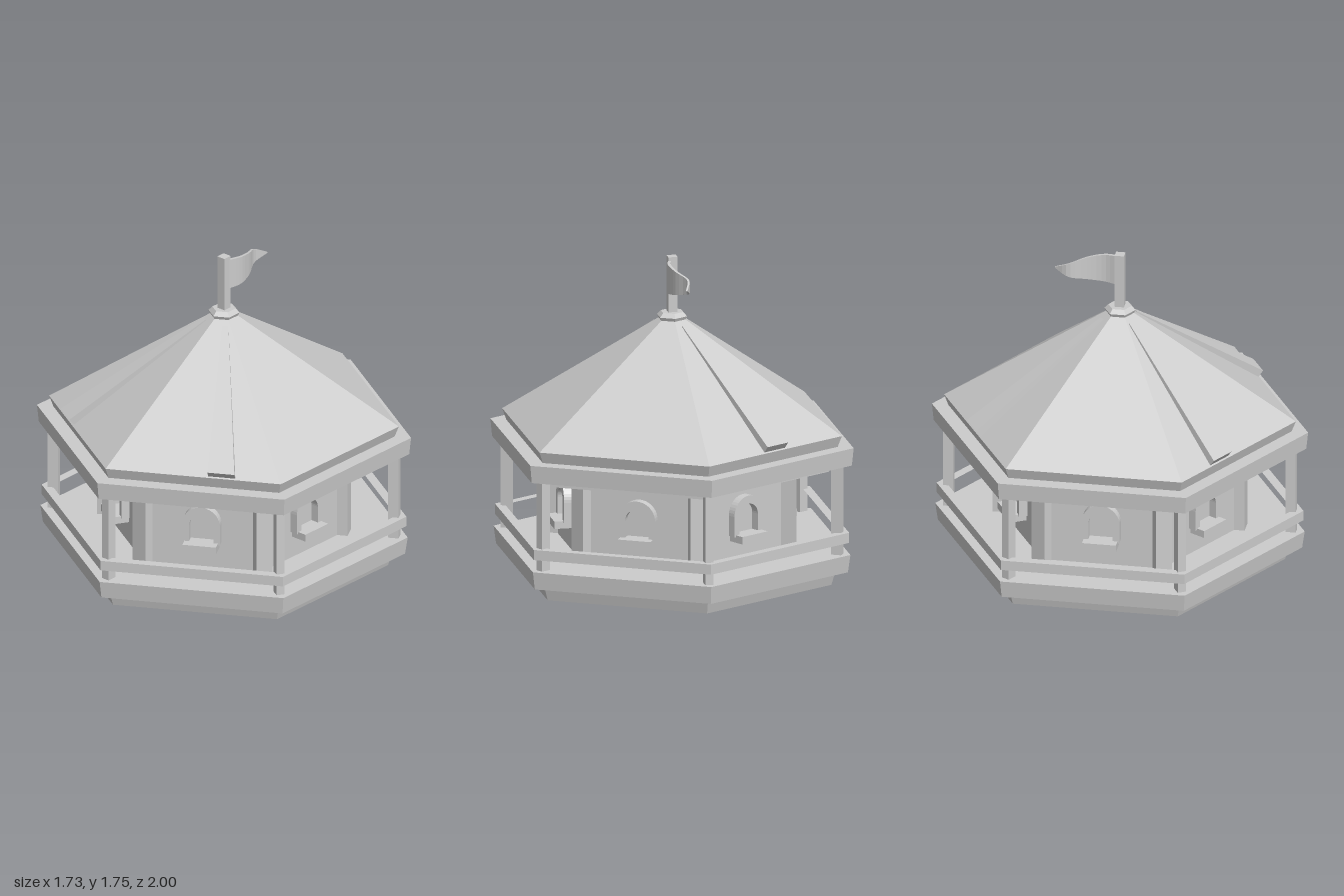
import * as THREE from 'three';

const mat = new THREE.MeshStandardMaterial({ color: 0xcccccc, flatShading: true });
const matDouble = new THREE.MeshStandardMaterial({ color: 0xcccccc, flatShading: true, side: THREE.DoubleSide });

function add(parent, name, geometry, material = mat) {
  const mesh = new THREE.Mesh(geometry, material);
  mesh.name = name;
  parent.add(mesh);
  return mesh;
}

// Six-sided tapered slab between heights y0 and y1, corners on +z and -z
function hexSlab(parent, name, r0, y0, r1, y1) {
  const mesh = add(parent, name, new THREE.CylinderGeometry(r1, r0, y1 - y0, 6));
  mesh.position.y = (y0 + y1) / 2;
  return mesh;
}

function hexPoints(r) {
  return Array.from({ length: 6 }, (_, i) => {
    const a = i * Math.PI / 3;
    return new THREE.Vector2(r * Math.sin(a), r * Math.cos(a));
  });
}

// Arch outline standing on y = 0
function arch(path, half, height) {
  path.moveTo(-half, 0);
  path.lineTo(half, 0);
  path.lineTo(half, height - half);
  path.absarc(0, height - half, half, 0, Math.PI, false);
  path.lineTo(-half, 0);
  return path;
}

// Arched window frame with a sill, on the local +z side
function makeWindow(apothem) {
  const win = new THREE.Group();
  win.name = 'window';
  const shape = arch(new THREE.Shape(), 0.1, 0.21);
  shape.holes.push(arch(new THREE.Path(), 0.065, 0.165));
  const frame = add(win, 'windowFrame',
    new THREE.ExtrudeGeometry(shape, { depth: 0.045, bevelEnabled: false, curveSegments: 10 }));
  frame.position.set(0, 0.36, apothem);
  const sill = add(win, 'windowSill', new THREE.BoxGeometry(0.18, 0.04, 0.1));
  sill.position.set(0, 0.35, apothem + 0.045);
  return win;
}

// Tapered raised strip lying on the local +z roof slope
function roofStrip(baseX, topX) {
  const g = new THREE.BoxGeometry(1, 1, 1);
  const p = g.attributes.position;
  for (let i = 0; i < p.count; i++) {
    const low = p.getZ(i) > 0, raised = p.getY(i) > 0;
    const lift = raised ? (low ? 0.045 : 0.006) : -0.004;
    const x = p.getX(i) * (low ? 0.145 : 0.035) + (low ? baseX : topX);
    p.setXYZ(i, x, (low ? 0.853 : 1.388) + 0.797 * lift, (low ? 0.8 : 0.095) + 0.604 * lift);
  }
  g.computeVertexNormals();
  return g;
}

// Waving pennant: a thin box bent along a curve and narrowed to a point
function pennant() {
  const curve = new THREE.CatmullRomCurve3([
    [0.015, -0.01], [0.032, -0.09], [0.012, -0.18], [-0.03, -0.27], [-0.005, -0.345],
  ].map(([x, z]) => new THREE.Vector3(x, 0, z)));
  const g = new THREE.BoxGeometry(0.018, 2, 1, 1, 1, 14);
  const p = g.attributes.position;
  for (let i = 0; i < p.count; i++) {
    const t = 0.5 - p.getZ(i);
    const c = curve.getPoint(t);
    const half = 0.08 * (1 - t * t) + 0.002;
    p.setXYZ(i, c.x + p.getX(i) * (1 - 0.5 * t), 1.648 + p.getY(i) * half, c.z);
  }
  g.computeVertexNormals();
  return g;
}

export function createModel() {
  const model = new THREE.Group();
  model.name = 'hexagonalPavilion';

  // Stepped floor
  hexSlab(model, 'floorFoot', 0.877, 0.04, 0.9, 0.115);
  hexSlab(model, 'floorRim', 0.968, 0.115, 0.982, 0.21);

  // Room walls
  hexSlab(model, 'walls', 0.64, 0.2, 0.64, 0.66);

  // Railing ring
  const ring = new THREE.Shape(hexPoints(0.975));
  ring.holes.push(new THREE.Path(hexPoints(0.92)));
  const railGeo = new THREE.ExtrudeGeometry(ring, { depth: 0.055, bevelEnabled: false });
  railGeo.rotateX(-Math.PI / 2);
  add(model, 'railing', railGeo).position.y = 0.275;

  // Posts and room pillars at every corner; the pillars run through the floor as hollow feet
  const postGeo = new THREE.BoxGeometry(0.045, 0.51, 0.055);
  const pillarGeo = new THREE.BoxGeometry(0.09, 0.65, 0.17);
  const faces = Array.from(pillarGeo.index.array);
  faces.splice(18, 6); // open underside
  pillarGeo.setIndex(faces);
  pillarGeo.clearGroups();
  for (let i = 0; i < 6; i++) {
    const corner = new THREE.Group();
    corner.name = 'corner';
    corner.rotation.y = i * Math.PI / 3;
    add(corner, 'post', postGeo).position.set(0, 0.455, 0.91);
    add(corner, 'pillar', pillarGeo, matDouble).position.set(0, 0.325, 0.585);
    model.add(corner);

    // One window in every wall
    const win = makeWindow(0.64 * Math.cos(Math.PI / 6));
    win.rotation.y = (i + 0.5) * Math.PI / 3;
    model.add(win);
  }

  // Ceiling, eaves and roof
  hexSlab(model, 'ceilingTaper', 0.68, 0.62, 0.865, 0.652);
  hexSlab(model, 'ceiling', 0.865, 0.652, 0.865, 0.7);
  hexSlab(model, 'eaves', 0.99, 0.695, 1, 0.79);
  hexSlab(model, 'roofEdge', 0.912, 0.79, 0.935, 0.85);
  hexSlab(model, 'roof', 0.935, 0.85, 0.07, 1.415);

  // Raised roof strips: [slope direction, offset at the eaves, offset at the top]
  for (const [angle, baseX, topX] of [[-30, -0.152, -0.026], [30, 0.152, 0.026], [210, 0, 0]]) {
    add(model, 'roofStrip', roofStrip(baseX, topX)).rotation.y = THREE.MathUtils.degToRad(angle);
  }

  // Cap, flagpole and flag
  hexSlab(model, 'capBase', 0.068, 1.4, 0.083, 1.43);
  hexSlab(model, 'cap', 0.083, 1.43, 0.062, 1.452);
  add(model, 'flagpole', new THREE.BoxGeometry(0.05, 0.31, 0.05)).position.y = 1.595;
  add(model, 'flag', pennant());

  return model;
}
